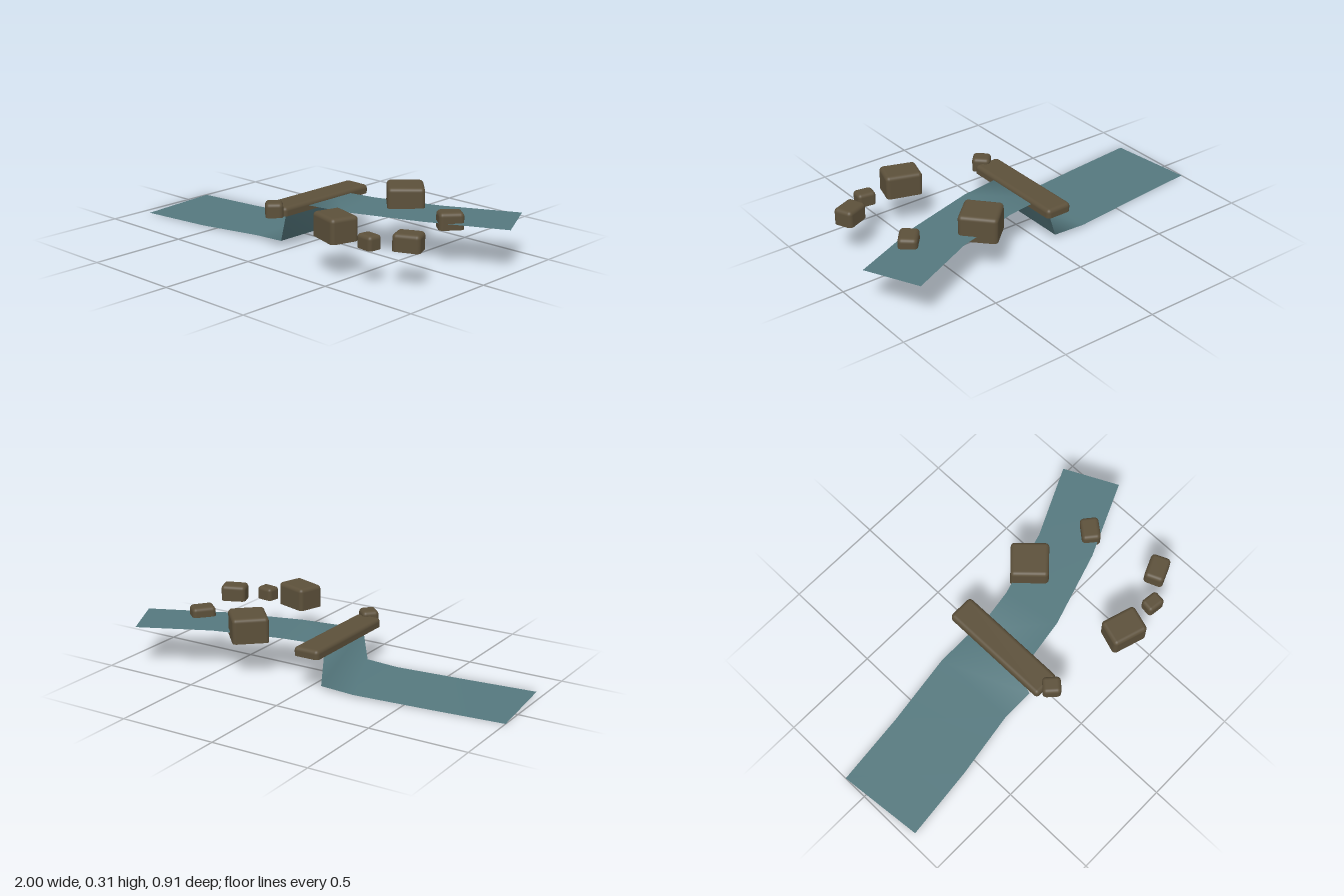
import * as THREE from 'three';
import { RoundedBoxGeometry } from 'three/addons/geometries/RoundedBoxGeometry.js';

const GROUND = 0.18;

// Water ribbon: each row is back x, back z, front x, front z, height
function waterGeometry() {
  const rows = [
    [0.87, -0.455, 1.0, -0.19, 0.214],
    [0.52, -0.29, 0.62, -0.02, 0.212],
    [0.18, -0.19, 0.24, 0.10, 0.206],
    [-0.05, -0.155, -0.08, 0.15, 0.204],
    [-0.07, -0.222, -0.07, 0.213, 0.02],
    [-0.25, -0.222, -0.24, 0.213, 0.012],
    [-0.62, -0.17, -0.58, 0.265, 0.002],
    [-1.0, -0.13, -0.955, 0.305, 0],
  ];
  const positions = [];
  const index = [];
  rows.forEach(([bx, bz, fx, fz, y], i) => {
    positions.push(bx, y, bz, fx, y, fz);
    if (i === 0) return;
    const a = 2 * i - 2;
    index.push(a, a + 2, a + 1, a + 1, a + 2, a + 3);
  });
  const g = new THREE.BufferGeometry();
  g.setAttribute('position', new THREE.Float32BufferAttribute(positions, 3));
  g.setIndex(index);
  g.computeVertexNormals();
  return g;
}

// Softly worn block with a flat base at y = 0
function stoneGeometry(w, h, d, r, wobble) {
  const g = new RoundedBoxGeometry(w, h + r, d, 4, r);
  const p = g.attributes.position;
  for (let i = 0; i < p.count; i++) {
    const x = p.getX(i), z = p.getZ(i);
    const y = Math.max(0, p.getY(i) + (h - r) / 2);
    const s = 1 + wobble * Math.sin(23 * z + 17 * y);
    p.setXYZ(i, x * s, y * (1 + wobble * Math.sin(19 * x + 11 * z)), z);
  }
  return g;
}

export function createModel() {
  const model = new THREE.Group();
  const water = new THREE.MeshStandardMaterial({ color: 0x55787e, side: THREE.DoubleSide });
  const stone = new THREE.MeshStandardMaterial({ color: 0x5c503a });
  water.name = 'water';
  stone.name = 'stone';

  const stream = new THREE.Mesh(waterGeometry(), water);
  stream.name = 'streamAndWaterfall';
  model.add(stream);

  // name, x, z, width, height, depth, turn, edge radius
  const stones = [
    ['fallLedge', -0.032, -0.005, 0.138, 0.045, 0.59, 0, 0.02],
    ['ledgeEndStone', -0.018, 0.308, 0.09, 0.07, 0.085, -0.75, 0.02],
    ['largeBackRock', 0.362, -0.205, 0.19, 0.128, 0.18, -0.82, 0.02],
    ['largeFrontRock', 0.432, 0.362, 0.183, 0.117, 0.142, -0.3, 0.02],
    ['smallFrontRock', 0.64, 0.366, 0.093, 0.066, 0.074, -0.13, 0.018],
    ['sideFrontRock', 0.784, 0.265, 0.13, 0.082, 0.1, 0.4, 0.02],
    ['smallBackRock', 0.708, -0.118, 0.093, 0.082, 0.12, -0.69, 0.02],
  ];
  for (const [name, x, z, w, h, d, turn, r] of stones) {
    const mesh = new THREE.Mesh(stoneGeometry(w, h, d, r, 0.015), stone);
    mesh.name = name;
    mesh.position.set(x, GROUND, z);
    mesh.rotation.y = turn;
    model.add(mesh);
  }
  return model;
}
